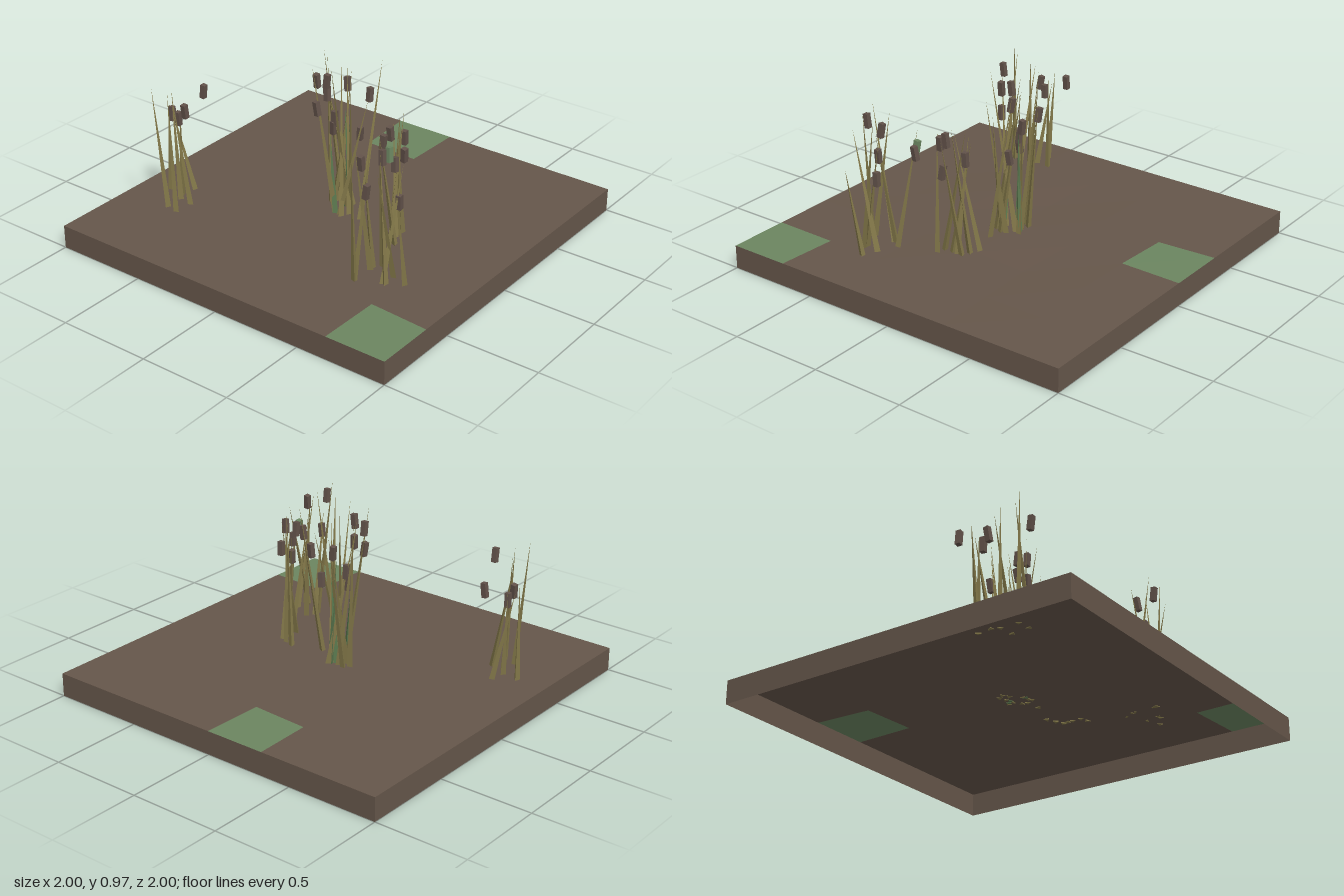
import * as THREE from 'three';

const mat = (name, color, side = THREE.FrontSide) => {
  const m = new THREE.MeshStandardMaterial({ color, side, flatShading: true });
  m.name = name;
  return m;
};

export function createModel() {
  const group = new THREE.Group();
  const earth = mat('earth', 0x65564a, THREE.DoubleSide);
  const moss = mat('moss', 0x6b8560, THREE.DoubleSide);
  const reed = mat('dryReed', 0x837849);
  const greenReed = mat('greenReed', 0x5c7a50);
  const brown = mat('seedHeadBrown', 0x62524a);
  const TOP = 0.125;

  const add = (name, geometry, material, parent = group) => {
    const mesh = new THREE.Mesh(geometry, material);
    mesh.name = name;
    parent.add(mesh);
    return mesh;
  };

  // Uneven ground: a 6 x 6 grid with a slight waver and two mossy tiles
  const N = 6;
  const ground = new THREE.PlaneGeometry(2, 2, N, N).rotateX(-Math.PI / 2);
  const p = ground.attributes.position;
  for (let i = 0; i < p.count; i++) {
    const x = p.getX(i), z = p.getZ(i);
    const inside = Math.abs(x) < 0.99 && Math.abs(z) < 0.99;
    const edgeX = Math.abs(x) < 0.99, edgeZ = Math.abs(z) < 0.99;
    p.setXYZ(i,
      x + (edgeX ? 0.015 * Math.sin(5 * x + 7 * z) : 0),
      TOP + (inside ? 0.004 * Math.sin(9 * x + 4 * z) : 0),
      z + (edgeZ && inside ? 0.015 * Math.cos(6 * x - 5 * z) : 0));
  }
  const mossyTiles = [2 * N + 5, 5 * N];
  for (let t = 0; t < N * N; t++) ground.addGroup(t * 6, 6, mossyTiles.includes(t) ? 1 : 0);
  add('ground', ground, [earth, moss]);

  // Four side walls, open underneath
  for (let i = 0; i < 4; i++) {
    const wall = new THREE.PlaneGeometry(2, TOP).translate(0, TOP / 2, 1).rotateY(i * Math.PI / 2);
    add('sideWall', wall, earth);
  }

  // Leaning, tapered blades: base x, base z, tip x, tip y, tip z
  const up = new THREE.Vector3(0, 1, 0);
  const blade = (parent, [bx, bz, tx, ty, tz], material) => {
    const base = new THREE.Vector3(bx, TOP - 0.003, bz);
    const dir = new THREE.Vector3(tx, ty, tz).sub(base);
    const length = dir.length();
    const geo = new THREE.ConeGeometry(0.017, length, 3).translate(0, length / 2, 0);
    const mesh = add('blade', geo, material, parent);
    mesh.position.copy(base);
    mesh.quaternion.setFromUnitVectors(up, dir.normalize());
    mesh.rotateY(bx * 40 + bz * 25);
  };

  // Box-shaped seed heads: x, y, z
  const head = (parent, [x, y, z], material, i) => {
    const mesh = add('seedHead', new THREE.BoxGeometry(0.027, 0.076, 0.027), material, parent);
    mesh.position.set(x, y, z);
    mesh.rotation.set(0.13 * Math.sin(i * 2.1), 0.2 * Math.sin(i * 3), 0.13 * Math.cos(i * 1.7));
  };

  const clumps = {
    backClump: {
      blades: [
        [-.53, -.72, -.565, .80, -.76], [-.54, -.65, -.505, .77, -.71], [-.44, -.64, -.42, .70, -.76],
        [-.38, -.83, -.35, .65, -.845], [-.31, -.73, -.37, .60, -.81], [-.43, -.72, -.44, .75, -.74],
        [-.39, -.74, -.33, .60, -.79],
      ],
      heads: [[-.51, .70, -.59], [-.20, .65, -.74], [-.40, .59, -.78], [-.365, .55, -.77]],
    },
    middleClump: {
      blades: [
        [-.04, .15, .12, .965, .165], [.04, -.02, .05, .96, -.145], [.02, -.08, .06, .92, -.13],
        [-.05, 0, -.13, .95, -.08], [.03, .02, -.12, .97, .03], [-.07, .05, .03, .96, -.02],
        [0, .06, -.08, .85, .12], [.05, -.06, .13, .85, -.03], [-.03, .07, .05, .90, 0],
        [.06, .03, -.02, .85, -.08], [0, -.05, .06, .70, 0], [-.06, .03, 0, .80, .17],
      ],
      greenBlades: [[.03, 0, .05, .62, .02], [-.06, .01, -.04, .55, -.04], [.05, .02, .03, .7, 0]],
      heads: [
        [-.08, .85, -.09], [-.09, .87, -.02], [-.05, .78, -.05], [0, .63, -.04], [0, .57, -.05],
        [.12, .77, -.05], [.12, .75, .09], [.04, .565, .09], [-.12, .72, -.06],
      ],
    },
    frontClump: {
      blades: [
        [-.14, .44, -.19, .75, .37], [.02, .31, -.06, .78, .40], [-.05, .40, 0, .78, .36],
        [-.13, .40, 0, .80, .385], [-.02, .40, -.12, .72, .43], [0, .36, -.07, .80, .41],
        [-.08, .40, -.01, .72, .33],
      ],
      heads: [[-.12, .72, .39], [-.165, .69, .38], [-.12, .56, .42], [0, .65, .39], [-.20, .68, .53]],
      greenHeads: [[-.24, .68, .47]],
    },
    frontRightClump: {
      blades: [
        [-.53, .48, -.57, .79, .49], [-.52, .48, -.40, .83, .48], [-.40, .48, -.52, .86, .47],
        [-.34, .51, -.265, .76, .43], [-.39, .615, -.53, .75, .61], [-.47, .62, -.44, .80, .56],
        [-.47, .60, -.35, .72, .63], [-.42, .695, -.50, .58, .71], [-.38, .48, -.48, .70, .50],
      ],
      heads: [[-.52, .765, .51], [-.465, .585, .50], [-.40, .755, .545], [-.37, .53, .625]],
    },
  };
  for (const [name, c] of Object.entries(clumps)) {
    const clump = new THREE.Group();
    clump.name = name;
    group.add(clump);
    c.blades.forEach((b) => blade(clump, b, reed));
    (c.greenBlades ?? []).forEach((b) => blade(clump, b, greenReed));
    c.heads.forEach((h, i) => head(clump, h, brown, i));
    (c.greenHeads ?? []).forEach((h, i) => head(clump, h, moss, i + 2));
  }
  return group;
}
